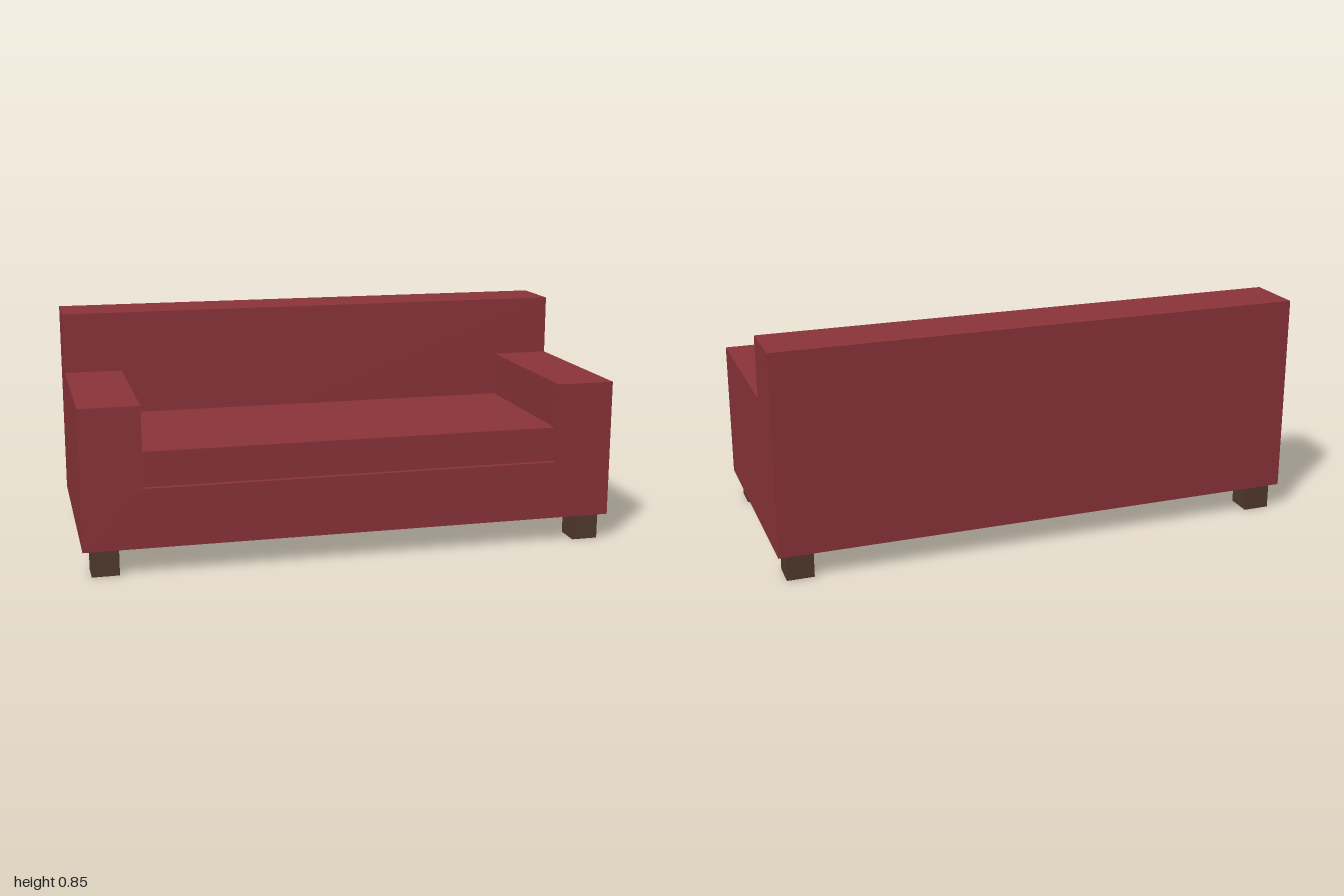
import * as THREE from 'three';

export function createModel() {
  const sofa = new THREE.Group();
  sofa.name = 'sofa';

  const fabric = new THREE.MeshStandardMaterial({ color: 0x8c343a });
  fabric.name = 'red fabric';
  const wood = new THREE.MeshStandardMaterial({ color: 0x533a2d });
  wood.name = 'dark wood';

  // Box given by its lower and upper corners
  function addBox(name, material, [x0, y0, z0], [x1, y1, z1]) {
    const mesh = new THREE.Mesh(new THREE.BoxGeometry(x1 - x0, y1 - y0, z1 - z0), material);
    mesh.position.set((x0 + x1) / 2, (y0 + y1) / 2, (z0 + z1) / 2);
    mesh.name = name;
    sofa.add(mesh);
  }

  // Base and both arms: one U-shaped front profile, extruded forward from the backrest
  const profile = new THREE.Shape([
    [-1, 0.1], [1, 0.1], [1, 0.62], [0.78, 0.62],
    [0.78, 0.32], [-0.78, 0.32], [-0.78, 0.62], [-1, 0.62],
  ].map(([x, y]) => new THREE.Vector2(x, y)));
  const frame = new THREE.Mesh(
    new THREE.ExtrudeGeometry(profile, { depth: 0.67, bevelEnabled: false }), fabric);
  frame.position.z = -0.22;
  frame.name = 'baseAndArms';
  sofa.add(frame);

  // Full-width backrest
  addBox('backrest', fabric, [-1, 0.1, -0.45], [1, 0.85, -0.22]);

  // Seat cushion, set slightly back from the front edge
  addBox('seatCushion', fabric, [-0.78, 0.32, -0.22], [0.78, 0.45, 0.43]);

  // Four square legs
  for (const x of [-0.92, 0.92]) {
    for (const z of [-0.38, 0.38]) {
      const name = (z > 0 ? 'front' : 'back') + (x > 0 ? 'Left' : 'Right') + 'Leg';
      addBox(name, wood, [x - 0.05, 0, z - 0.05], [x + 0.05, 0.1, z + 0.05]);
    }
  }

  return sofa;
}
